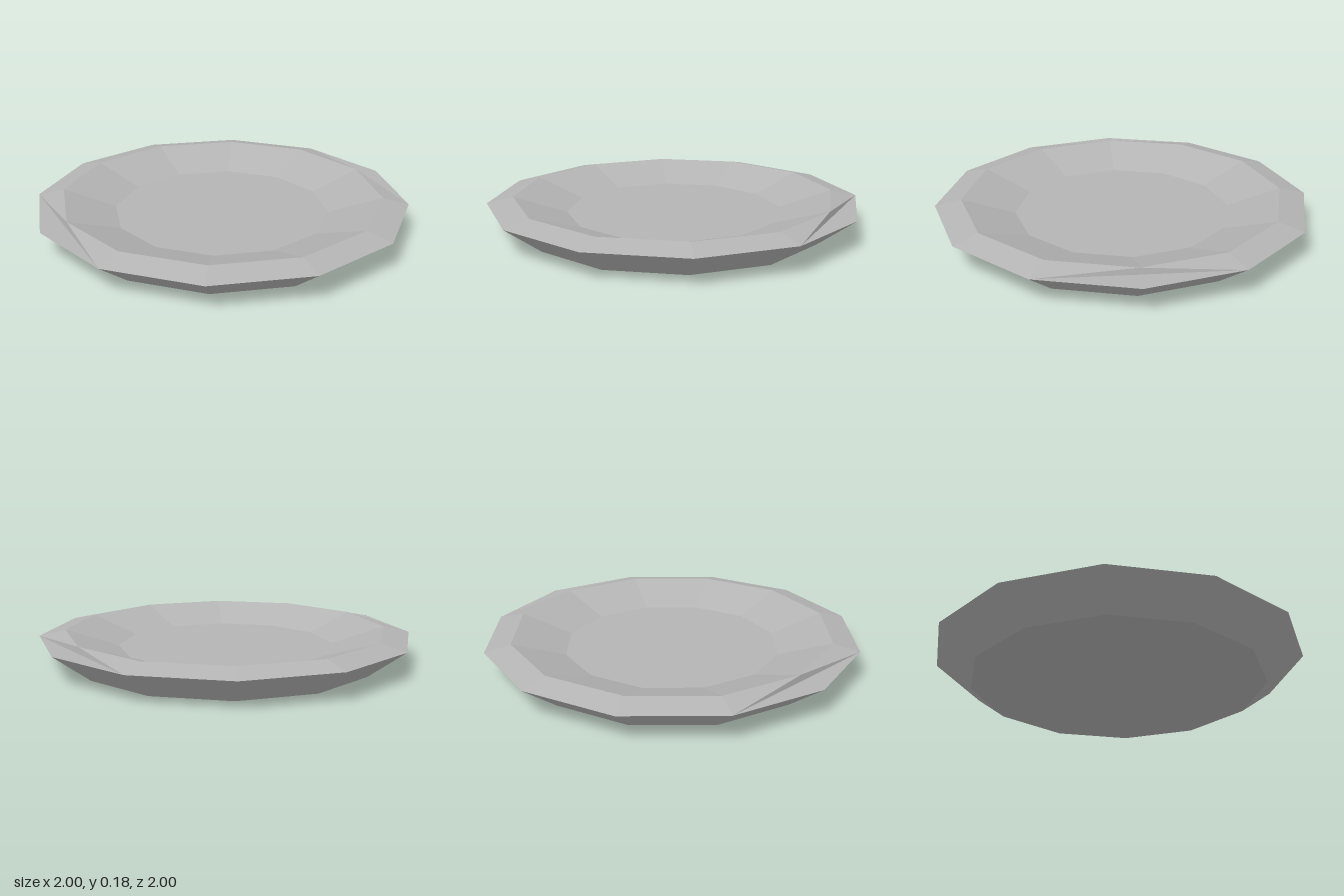
import * as THREE from 'three';

const SIDES = 12;

// One ring of twelve corners; radius 0 gives the centre point
const ring = (radius, y) => Array.from({ length: SIDES }, (_, i) => {
  const a = (i / SIDES) * Math.PI * 2;
  return new THREE.Vector3(Math.cos(a) * radius, y, Math.sin(a) * radius);
});

// Flat-faced mesh from triangles
function facetMesh(name, triangles, material) {
  const geometry = new THREE.BufferGeometry().setFromPoints(triangles.flat());
  geometry.computeVertexNormals();
  const mesh = new THREE.Mesh(geometry, material);
  mesh.name = name;
  return mesh;
}

// Band of facets between two rings; a centre ring makes a fan
function band(a, b) {
  const tris = [];
  for (let i = 0; i < SIDES; i++) {
    const k = (i + 1) % SIDES;
    if (!b[i].equals(b[k])) tris.push([a[i], b[i], b[k]]);
    if (!a[i].equals(a[k])) tris.push([a[i], b[k], a[k]]);
  }
  return tris;
}

// Rim slope, with a flat notch at each end of the x axis
function rimFacets(outer, ridge) {
  const tris = [];
  for (let i = 0; i < SIDES; i++) {
    const k = (i + 1) % SIDES;
    const notched = (n) => n % (SIDES / 2) === 0;
    if (notched(i)) {
      const p = (i + SIDES - 1) % SIDES;
      tris.push([ridge[i], ridge[k], outer[k]]);
      tris.push([ridge[i], outer[k], outer[p]]); // steep step
      tris.push([outer[i], outer[p], outer[k]]); // level tip
    } else if (notched(k)) {
      tris.push([outer[i], ridge[i], ridge[k]]);
    } else {
      tris.push([outer[i], ridge[i], ridge[k]], [outer[i], ridge[k], outer[k]]);
    }
  }
  return tris;
}

export function createModel() {
  const grey = new THREE.MeshStandardMaterial({ color: 0xb4b4b4 });
  grey.name = 'plate grey';
  grey.flatShading = true;

  const foot = ring(0.8, 0);
  const outer = ring(1, 0.147);
  const ridge = ring(0.861, 0.18);
  const well = ring(0.578, 0.09);

  const plate = new THREE.Group();
  plate.name = 'plate';
  plate.add(
    facetMesh('base', band(ring(0, 0), foot), grey),
    facetMesh('outerWall', band(foot, outer), grey),
    facetMesh('rim', rimFacets(outer, ridge), grey),
    facetMesh('innerSlope', band(ridge, well), grey),
    facetMesh('floor', band(well, ring(0, 0.09)), grey),
  );
  return plate;
}
